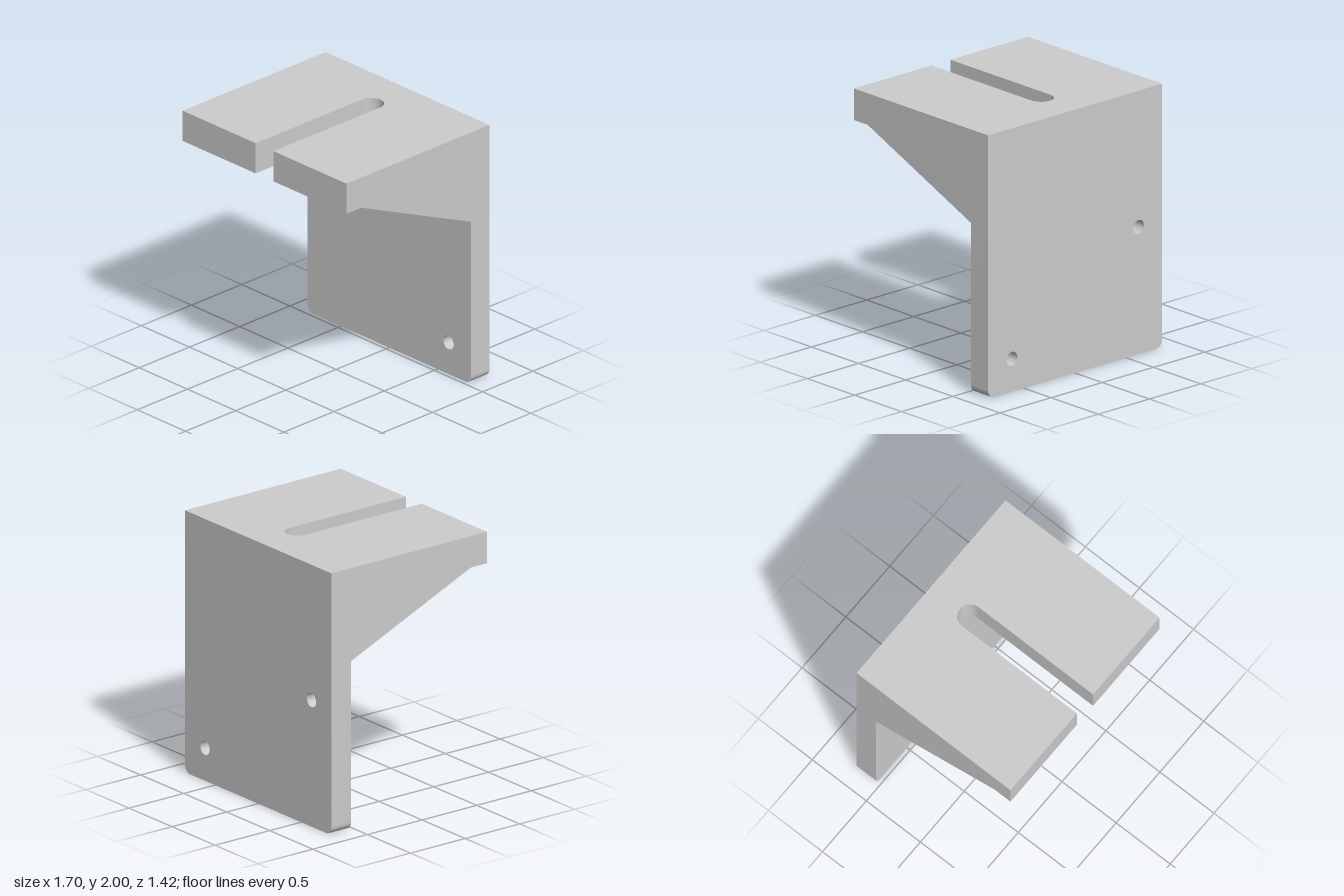
import * as THREE from 'three';
import { toCreasedNormals } from 'three/addons/utils/BufferGeometryUtils.js';

const W = 0.85, D = 0.712;            // half width, half depth
const TOP = 2, UNDER = 1.76;          // shelf top and underside
const PLATE_FRONT = -0.53;            // front face of the back plate

const material = new THREE.MeshStandardMaterial({ color: 0xcccccc });

function extrude(shape, depth) {
  const geo = new THREE.ExtrudeGeometry(shape, { depth, bevelEnabled: false, curveSegments: 24 });
  return toCreasedNormals(geo, 0.5);
}

function addPart(group, name, geometry) {
  const mesh = new THREE.Mesh(geometry, material);
  mesh.name = name;
  group.add(mesh);
}

export function createModel() {
  const group = new THREE.Group();
  group.name = 'mountingBracket';

  // Back plate: rounded bottom corners and two screw holes
  const r = 0.06;
  const plate = new THREE.Shape();
  plate.moveTo(-W, UNDER);
  plate.lineTo(-W, r);
  plate.absarc(-W + r, r, r, Math.PI, Math.PI * 1.5, false);
  plate.absarc(W - r, r, r, Math.PI * 1.5, Math.PI * 2, false);
  plate.lineTo(W, UNDER);
  plate.closePath();
  for (const [x, y] of [[-0.62, 0.966], [0.617, 0.25]]) {
    plate.holes.push(new THREE.Path().absarc(x, y, 0.053, 0, Math.PI * 2, true));
  }
  addPart(group, 'backPlate', extrude(plate, PLATE_FRONT + D).translate(0, 0, -D));

  // Shelf: drawn in plan (x, z), with a round-ended slot open at the front
  const s = 0.093, slotZ = -0.35;
  const shelf = new THREE.Shape();
  shelf.moveTo(-W, -D);
  shelf.lineTo(W, -D);
  shelf.lineTo(W, D);
  shelf.lineTo(s, D);
  shelf.lineTo(s, slotZ);
  shelf.absarc(0, slotZ, s, 0, -Math.PI, true);
  shelf.lineTo(-s, D);
  shelf.lineTo(-W, D);
  shelf.closePath();
  addPart(group, 'slottedShelf', extrude(shelf, TOP - UNDER).rotateX(Math.PI / 2).translate(0, TOP, 0));

  // Side gussets: triangles drawn in profile (z, y)
  const t = 0.092;
  const gusset = new THREE.Shape([
    new THREE.Vector2(PLATE_FRONT, 1.29),
    new THREE.Vector2(0.565, UNDER),
    new THREE.Vector2(PLATE_FRONT, UNDER),
  ]);
  for (const [name, outerX] of [['leftGusset', W], ['rightGusset', -W + t]]) {
    addPart(group, name, extrude(gusset, t).rotateY(-Math.PI / 2).translate(outerX, 0, 0));
  }

  return group;
}
